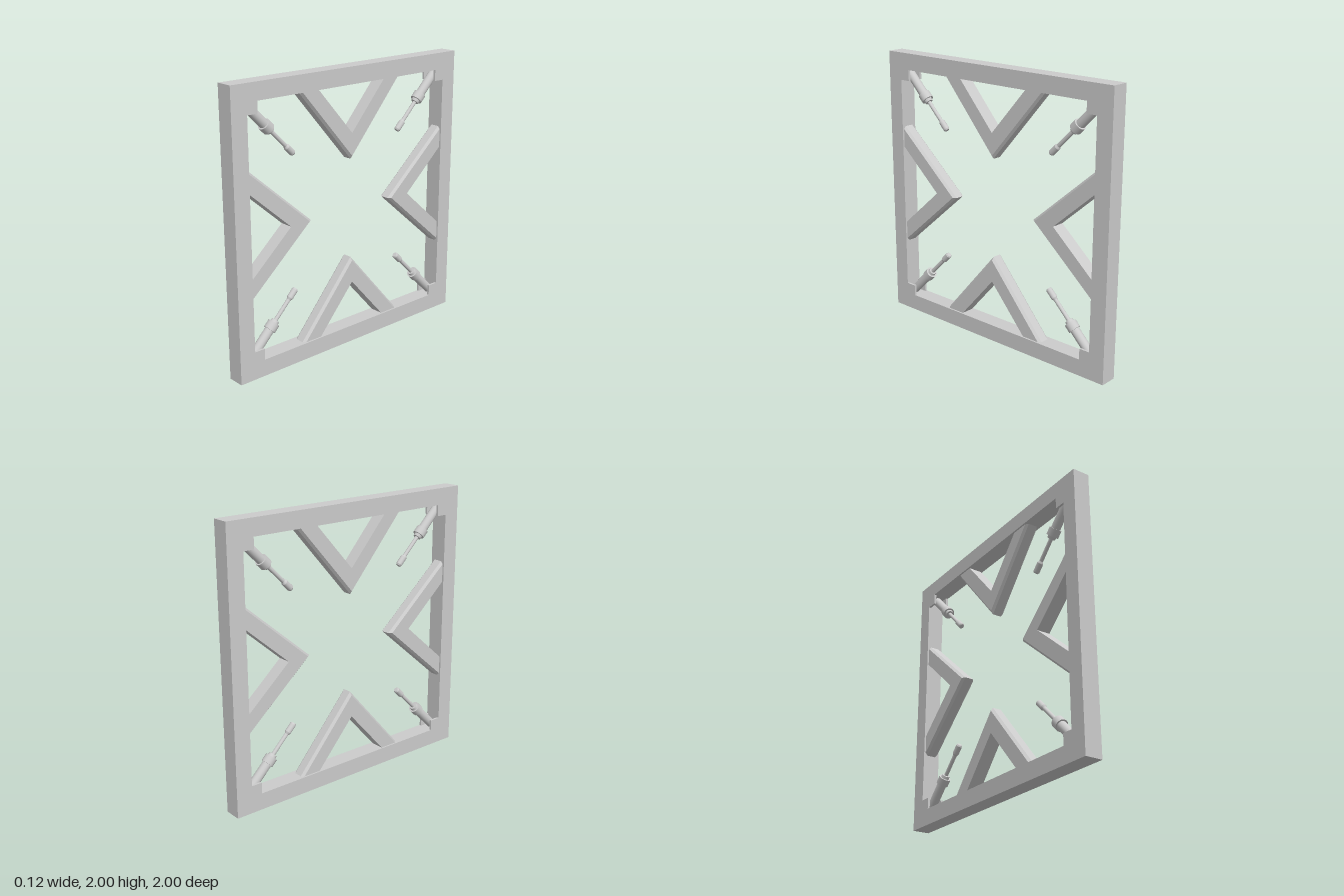
import * as THREE from 'three';

const HALF = 0.0625; // half thickness of the frame
const material = new THREE.MeshStandardMaterial({ color: 0xcccccc });

function part(name, geometry, mat = material) {
  const mesh = new THREE.Mesh(geometry, mat);
  mesh.name = name;
  return mesh;
}

function square(Path, r) {
  return new Path([[-r, -r], [r, -r], [r, r], [-r, r]].map(([x, y]) => new THREE.Vector2(x, y)));
}

// Square border standing in the z-y plane
function frameGeometry() {
  const shape = square(THREE.Shape, 1);
  shape.holes.push(square(THREE.Path, 0.88));
  return new THREE.ExtrudeGeometry(shape, { depth: 2 * HALF, bevelEnabled: false })
    .translate(0, 0, -HALF).rotateY(Math.PI / 2);
}

// V brace: a section with chamfered outer edges swept foot - apex - foot
function braceGeometry() {
  const h = 0.05, c = 0.018;
  const section = [[0, h - c], [0.13, h], [1, h], [1, -h], [0.13, -h], [0, c - h]]; // [outer to inner, x]
  const stations = [ // outer z, y and inner z, y
    [0.45, -0.88, 0.295, -0.88],
    [0, -0.36, 0, -0.545],
    [-0.45, -0.88, -0.295, -0.88],
  ];
  const point = ([oz, oy, iz, iy], [t, x]) => [x, oy + (iy - oy) * t, oz + (iz - oz) * t];
  const positions = [];
  const n = section.length;
  for (let s = 0; s < 2; s++) {
    for (let i = 0; i < n; i++) {
      const a = point(stations[s], section[i]);
      const b = point(stations[s], section[(i + 1) % n]);
      const d = point(stations[s + 1], section[i]);
      const e = point(stations[s + 1], section[(i + 1) % n]);
      positions.push(...a, ...d, ...b, ...b, ...d, ...e);
    }
  }
  const geometry = new THREE.BufferGeometry();
  geometry.setAttribute('position', new THREE.Float32BufferAttribute(positions, 3));
  geometry.computeVertexNormals();
  return geometry;
}

// Plunger: stacked turned sections along y, [start, end, start radius, end radius]
function plunger() {
  const group = new THREE.Group();
  group.name = 'plunger';
  const pieces = [
    ['barrel', 0.2, 0.415, 0.033, 0.033],
    ['collar', 0.41, 0.465, 0.043, 0.043],
    ['collarCap', 0.465, 0.485, 0.031, 0.027],
    ['rod', 0.48, 0.67, 0.014, 0.014],
    ['tipShoulder', 0.65, 0.665, 0.014, 0.022],
    ['tip', 0.665, 0.73, 0.022, 0.022],
    ['tipEnd', 0.73, 0.74, 0.022, 0.016],
  ];
  for (const [name, y0, y1, r0, r1] of pieces) {
    const mesh = part(name, new THREE.CylinderGeometry(r1, r0, y1 - y0, 24));
    mesh.position.y = (y0 + y1) / 2;
    group.add(mesh);
  }
  // Point from the corner towards the centre of the frame
  group.position.set(0, -1, 1);
  group.rotation.x = -Math.PI / 4;
  return group;
}

export function createModel() {
  const model = new THREE.Group();
  model.name = 'squareFrame';
  const body = new THREE.Group();
  body.name = 'frameAssembly';
  body.position.y = 1;
  model.add(body);
  body.add(part('border', frameGeometry()));

  const brace = braceGeometry();
  const plate = new THREE.BoxGeometry(0.016, 0.08, 0.08);
  const doubleSided = material.clone();
  doubleSided.side = THREE.DoubleSide;

  // One side and one corner, repeated by quarter turns
  for (let i = 0; i < 4; i++) {
    const quarter = new THREE.Group();
    quarter.name = 'quarter' + (i + 1);
    quarter.rotation.x = i * Math.PI / 2;
    quarter.add(part('brace', brace, doubleSided), plunger());
    // Pair of plates holding the plunger in the corner
    for (const side of [-1, 1]) {
      const mesh = part('cornerPlate', plate);
      mesh.position.set(side * (HALF - 0.008), -0.84, 0.84);
      quarter.add(mesh);
    }
    body.add(quarter);
  }
  return model;
}
